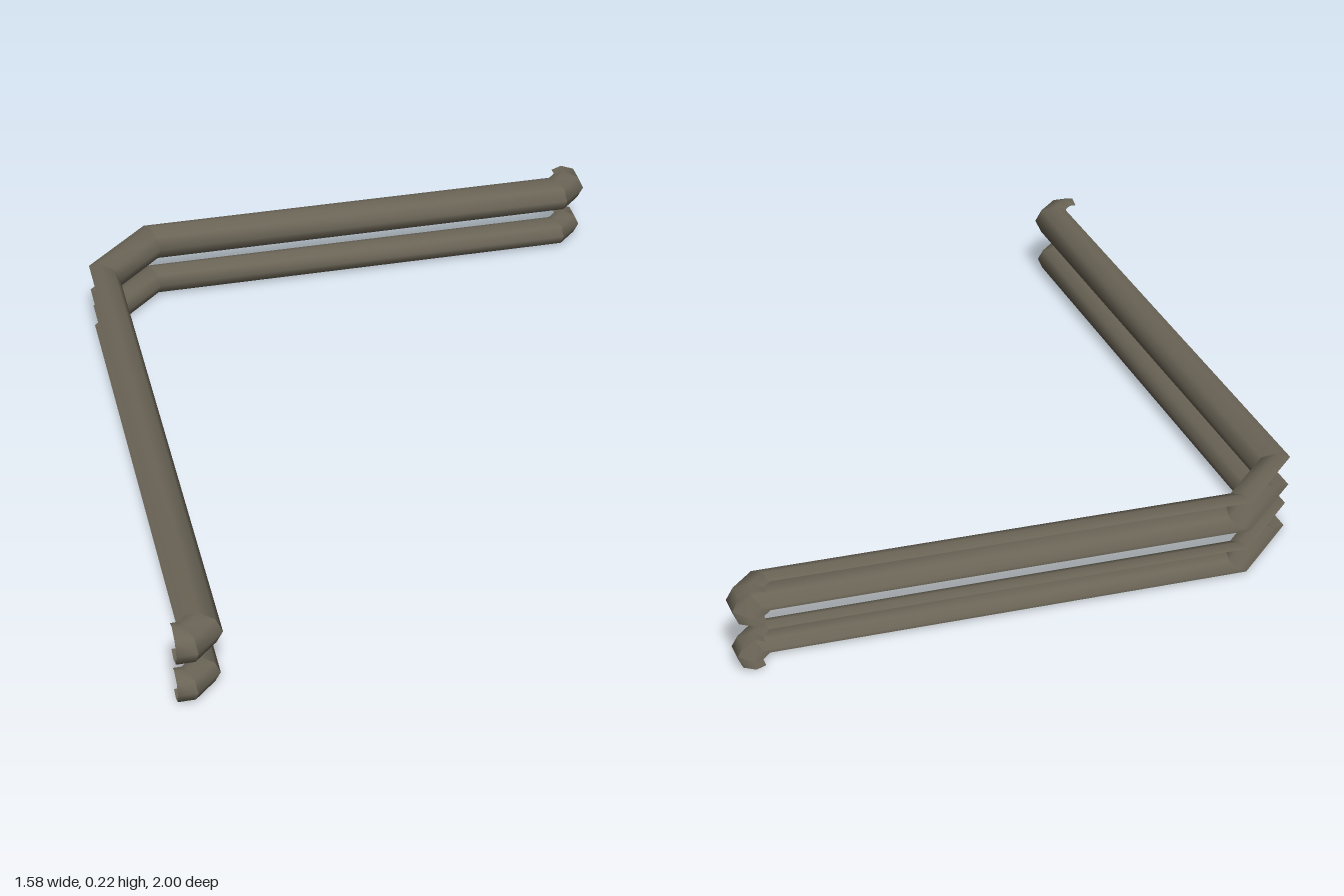
import * as THREE from 'three';

// Plan of the rails (x, z): front hook, left arm, chamfered corner, back arm, rear hook
const PATH = [
  [-0.79, 0.945], [-0.759, 0.945], [-0.719, 0.905], [-0.719, -0.753],
  [-0.547, -0.925], [0.695, -0.925], [0.733, -0.963], [0.733, -1.0],
].map(([x, z]) => new THREE.Vector2(x, z));

// Open C-shaped section: [depth towards the inside of the corner, height]
const SECTION = [
  [-0.029, -0.04], [0, -0.05], [0.039, -0.035], [0.055, 0],
  [0.039, 0.035], [0, 0.05], [-0.029, 0.04],
];

// Sideways direction of each straight run, then the mitre at each path point
const normals = PATH.slice(1).map((p, i) => {
  const d = p.clone().sub(PATH[i]).normalize();
  return new THREE.Vector2(-d.y, d.x);
});
const mitres = PATH.map((_, i) => {
  const a = normals[Math.max(i - 1, 0)];
  const b = normals[Math.min(i, normals.length - 1)];
  const m = a.clone().add(b).normalize();
  return m.divideScalar(m.dot(b));
});

// One straight run, smooth around the section with crisp mitred ends
function runGeometry(i, scale) {
  const positions = [], index = [];
  for (const k of [i, i + 1]) {
    for (const [d, y] of SECTION) {
      const p = PATH[k].clone().addScaledVector(mitres[k], d * scale);
      positions.push(p.x, y * scale, p.y);
    }
  }
  const n = SECTION.length;
  for (let j = 0; j < n - 1; j++) {
    index.push(j, j + n, j + 1, j + 1, j + n, j + n + 1);
  }
  const g = new THREE.BufferGeometry();
  g.setAttribute('position', new THREE.Float32BufferAttribute(positions, 3));
  g.setIndex(index);
  g.computeVertexNormals();
  // Winding should face the convex side
  const mid = 3, nv = normals[i], nrm = g.attributes.normal;
  if (nrm.getX(mid) * nv.x + nrm.getZ(mid) * nv.y < 0) {
    g.setIndex(index.slice().reverse());
    g.computeVertexNormals();
  }
  return g;
}

export function createModel() {
  const metal = new THREE.MeshStandardMaterial({ color: 0x6a6456, side: THREE.DoubleSide });
  metal.name = 'weathered metal';
  const runNames = ['frontHookEnd', 'frontHookBend', 'leftArm', 'cornerBend',
    'backArm', 'rearHookBend', 'rearHookEnd'];

  const model = new THREE.Group();
  model.name = 'cornerRails';
  // Larger upper rail above a slimmer lower one
  for (const [name, y, scale] of [['upperRail', 0.17, 1], ['lowerRail', 0.0415, 0.83]]) {
    const rail = new THREE.Group();
    rail.name = name;
    rail.position.y = y;
    runNames.forEach((runName, i) => {
      const mesh = new THREE.Mesh(runGeometry(i, scale), metal);
      mesh.name = runName;
      rail.add(mesh);
    });
    model.add(rail);
  }
  return model;
}
